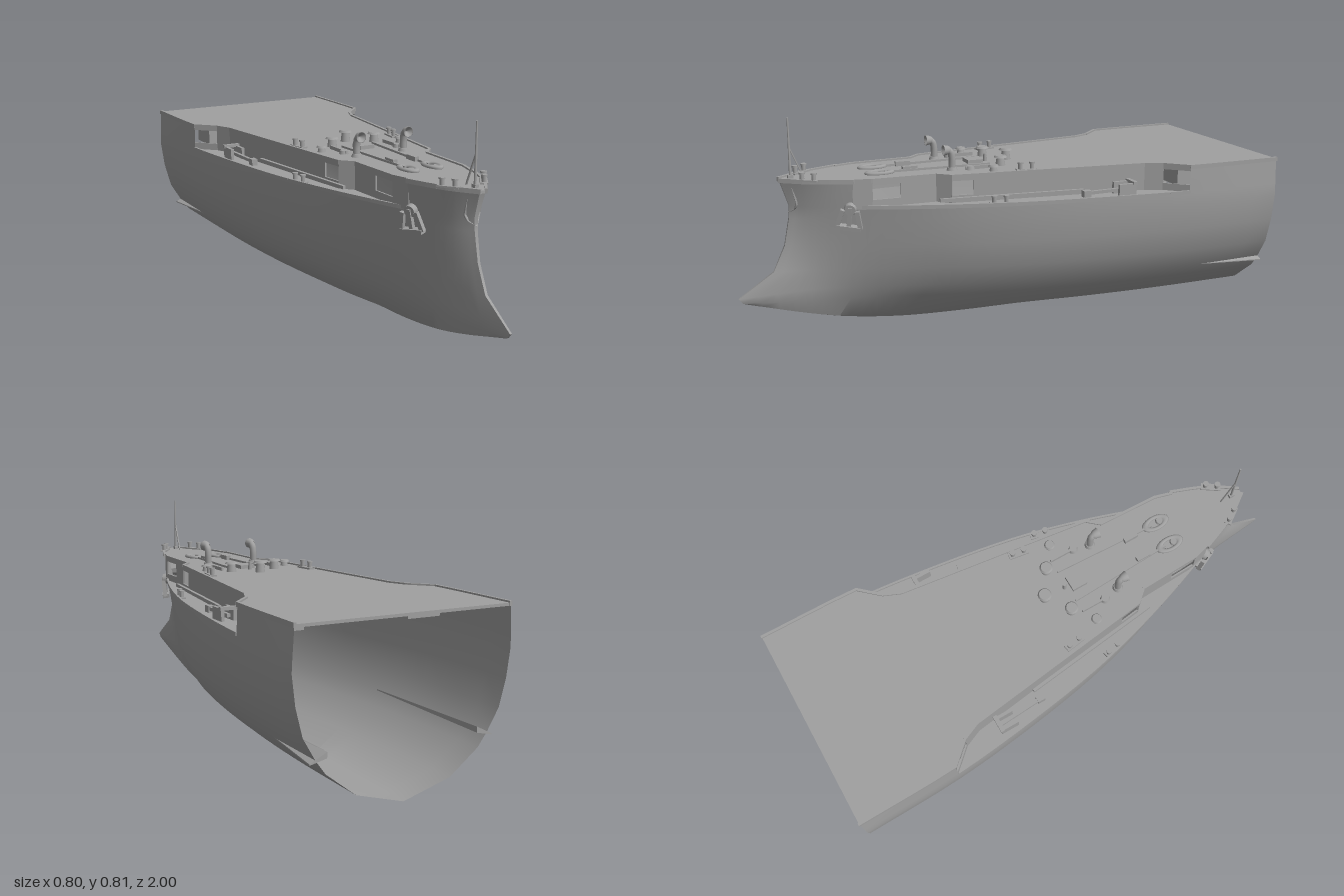
import * as THREE from 'three';
import { toCreasedNormals } from 'three/addons/utils/BufferGeometryUtils.js';

const V = (x, y, z) => new THREE.Vector3(x, y, z);

export function createModel() {
  const ship = new THREE.Group();
  ship.name = 'shipBow';
  const grey = new THREE.MeshStandardMaterial({ color: 0xa0a0a0, side: THREE.DoubleSide });
  grey.name = 'hullGrey';

  const add = (name, geo, x = 0, y = 0, z = 0, parent = ship) => {
    const m = new THREE.Mesh(geo, grey);
    m.name = name;
    m.position.set(x, y, z);
    parent.add(m);
    return m;
  };
  const box = (name, w, h, d, x, y, z, parent) => add(name, new THREE.BoxGeometry(w, h, d), x, y, z, parent);
  const cyl = (name, r1, r2, h, x, y, z, parent) => add(name, new THREE.CylinderGeometry(r1, r2, h, 16), x, y, z, parent);
  // box running from a to b, centred on that line
  const bar = (name, a, b, w, h) => {
    const m = box(name, w, h, a.distanceTo(b) + w * 0.5, 0, 0, 0);
    m.position.copy(a).lerp(b, 0.5);
    m.lookAt(b);
    return m;
  };
  // horizontal plate from a plan outline of [x, z]
  const slab = (name, pts, y, h) => {
    const shape = new THREE.Shape(pts.map(([x, z]) => new THREE.Vector2(x, -z)));
    const g = new THREE.ExtrudeGeometry(shape, { depth: h, bevelEnabled: false });
    return add(name, g.rotateX(-Math.PI / 2), 0, y, 0);
  };

  // Hull lines: half-breadth at each height for every station along z
  const levels = [0, 0.05, 0.133, 0.18, 0.255, 0.35, 0.45, 0.495, 0.592];
  const stations = [
    [-1, 0, [0, 0.175, 0.283, 0.318, 0.362, 0.387, 0.4, 0.398, 0.392]],
    [-0.62, 0, [0, 0.17, 0.277, 0.312, 0.354, 0.377, 0.389, 0.388, 0.384]],
    [-0.3, 0, [0, 0.15, 0.25, 0.283, 0.322, 0.343, 0.354, 0.354, 0.352]],
    [0, 0.002, [0, 0.115, 0.205, 0.237, 0.273, 0.293, 0.304, 0.306, 0.306]],
    [0.2, 0.007, [0, 0.085, 0.16, 0.19, 0.223, 0.242, 0.254, 0.257, 0.259]],
    [0.4, 0.018, [0, 0.04, 0.1, 0.125, 0.152, 0.172, 0.188, 0.195, 0.202]],
    [0.6, 0.045, [0, 0.008, 0.045, 0.062, 0.08, 0.096, 0.112, 0.12, 0.132]],
    [0.74, 0.077, [0, 0.002, 0.024, 0.032, 0.036, 0.04, 0.046, 0.052, 0.075]],
  ];
  const stem = [[0, 0.145, 0.975], [0.001, 0.146, 0.976], [0.003, 0.15, 0.985], [0.004, 0.168, 1], [0.005, 0.255, 0.87],
    [0.005, 0.35, 0.826], [0.006, 0.45, 0.806], [0.007, 0.495, 0.803], [0.012, 0.592, 0.834]];
  const SUB = 4, N = stations.length * SUB, L = levels.length;
  const lines = levels.map((y, i) => {
    const pts = stations.map(([z, keel, w]) => V(w[i], Math.max(y, keel + i * 0.0005), z));
    return new THREE.CatmullRomCurve3([...pts, V(...stem[i])]).getPoints(N);
  });
  const from = SUB, to = 6 * SUB; // gallery limits along the hull
  const W = 2 * L - 1, pos = [], idx = [];
  for (let j = 0; j <= N; j++) {
    for (let i = 0; i < W; i++) {
      const k = Math.abs(i - L + 1), p = lines[k][j];
      pos.push(i < L ? -p.x : p.x, p.y, p.z);
      if (j === N || i === W - 1) continue;
      if ((i === 0 || i === W - 2) && j >= from && j < to) continue;
      const a = j * W + i, c = a + W;
      idx.push(a, a + 1, c, a + 1, c + 1, c);
    }
  }
  // narrow closing face along the stem
  for (let i = 0; i < L - 1; i++) {
    const a = N * W + i, b = N * W + W - 1 - i;
    idx.push(a, a + 1, b, a + 1, b - 1, b);
  }
  const hull = new THREE.BufferGeometry();
  hull.setAttribute('position', new THREE.Float32BufferAttribute(pos, 3));
  hull.setIndex(idx);
  add('hull', toCreasedNormals(hull, 0.6));

  // Casemate wall in plan: x, z, and whether the run ending here has an opening
  const wall = [[0.384, -0.62], [0.315, -0.545, true], [0.287, -0.48], [0.203, 0.175], [0.192, 0.255, true],
    [0.152, 0.3], [0.147, 0.43], [0.143, 0.535, true], [0.125, 0.6]];
  const top = lines[L - 1].map((p) => [p.x, p.z]);
  const edge = [...top.slice(0, from), ...wall.map(([x, z]) => [x, z]), ...top.slice(to)];
  const mirror = (pts) => pts.map(([x, z]) => [-x, z]).reverse();
  slab('upperDeck', [...edge, ...mirror(edge)], 0.584, 0.01);
  const floorEdge = lines[L - 2].slice(from, to + 1).map((p) => [p.x, p.z]);

  for (const s of [1, -1]) {
    const at = ([x, z], y) => V(s * x, y, z);
    // raised rims and gallery
    for (let i = 1; i < edge.length; i++) bar('deckRim', at(edge[i - 1], 0.592), at(edge[i], 0.592), 0.01, 0.016);
    for (let i = 1; i < floorEdge.length; i++) bar('galleryRim', at(floorEdge[i - 1], 0.497), at(floorEdge[i], 0.497), 0.008, 0.012);
    const inner = wall.slice(0, -1).map(([x, z]) => [x, z]).reverse();
    slab('galleryFloor', [...floorEdge, ...inner].map(([x, z]) => [s * x, z]), 0.488, 0.008);
    for (let i = 1; i < wall.length; i++) {
      const run = (y0, y1) => bar('casemateWall', at(wall[i - 1], (y0 + y1) / 2), at(wall[i], (y0 + y1) / 2), 0.006, y1 - y0);
      if (wall[i][2]) { run(0.492, 0.523); run(0.576, 0.59); } else run(0.492, 0.59);
    }
    box('aftCasemate', 0.13, 0.07, 0.12, s * 0.265, 0.545, -0.66);

    // bilge keel: a tapered fin
    const fin = new THREE.Shape([[-0.02, 0.012], [0.04, -0.018], [0.04, -0.022], [-0.02, -0.008]].map(([x, y]) => new THREE.Vector2(s * x, y)));
    const finGeo = new THREE.ExtrudeGeometry(fin, { depth: 0.57, bevelEnabled: false });
    const fp = finGeo.attributes.position;
    for (let i = 0; i < fp.count; i++) if (fp.getZ(i) > 0.3) fp.setXYZ(i, fp.getX(i) * 0.1 - s * 0.018, fp.getY(i) * 0.2, fp.getZ(i));
    finGeo.computeVertexNormals();
    add('bilgeKeel', finGeo, s * 0.298, 0.19, -1);

    // cowl ventilator facing forward
    const cowl = new THREE.CatmullRomCurve3([V(0, 0.59, 0.22), V(0, 0.64, 0.22), V(0, 0.662, 0.226), V(0, 0.67, 0.24)]);
    add('cowlPipe', new THREE.TubeGeometry(cowl, 14, 0.013, 12), s * 0.1);
    const mouth = new THREE.LatheGeometry([[0.011, -0.018], [0.016, -0.01], [0.02, 0.008], [0.018, 0.008], [0, -0.01]].map(([x, y]) => new THREE.Vector2(x, y)), 16);
    add('cowlMouth', mouth.rotateX(Math.PI / 2), s * 0.1, 0.67, 0.245);
    cyl('cowlBase', 0.016, 0.02, 0.012, s * 0.1, 0.6, 0.22);

    // capstans
    for (const [x, z, r, h] of [[0.092, 0.025, 0.025, 0.034], [0.17, 0.085, 0.02, 0.02]]) {
      cyl('capstanBarrel', r * 0.55, r * 0.75, h, s * x, 0.594 + h / 2, z);
      cyl('capstanHead', r * 0.8, r, 0.007, s * x, 0.594 + h, z);
    }

    // chain, stoppers and hawse pipes
    bar('anchorChain', V(s * 0.066, 0.598, 0.06), V(s * 0.048, 0.598, 0.46), 0.008, 0.008);
    box('chainStopper', 0.018, 0.018, 0.055, s * 0.045, 0.602, 0.365);
    const ring = new THREE.TorusGeometry(0.022, 0.008, 8, 24).rotateX(Math.PI / 2).scale(1, 1, 1.9);
    add('hawseRing', ring, s * 0.05, 0.597, 0.48);
    cyl('hawsePlug', 0.014, 0.018, 0.01, s * 0.05, 0.597, 0.5);
    bar('deckCleatBar', V(s * 0.115, 0.6, 0.06), V(s * 0.115, 0.6, 0.17), 0.008, 0.014);
    cyl('deckCleat', 0.014, 0.018, 0.014, s * 0.115, 0.6, 0.155);

    // paired bollards: x, z, height of floor, yaw
    for (const [x, z, y, yaw] of [[0.205, -0.03, 0.594, 0.15], [0.272, 0.1, 0.496, 0.22], [0.07, 0.745, 0.594, 0.6]]) {
      const g = new THREE.Group();
      g.name = 'bollards';
      g.position.set(s * x, y, z);
      g.rotation.y = -s * yaw;
      ship.add(g);
      box('bollardBase', 0.026, 0.006, 0.075, 0, 0.003, 0, g);
      for (const k of [-0.022, 0.022]) {
        cyl('bollardPost', 0.008, 0.008, 0.026, 0, 0.014, k, g);
        cyl('bollardCap', 0.011, 0.011, 0.006, 0, 0.028, k, g);
      }
    }

    // gallery gear: boom against the wall, and a davit stowed flat
    bar('boom', V(s * 0.264, 0.511, -0.235), V(s * 0.2, 0.511, 0.3), 0.012, 0.012);
    box('davitHead', 0.065, 0.012, 0.016, s * 0.315, 0.54, -0.41);
    for (const x of [0.292, 0.338]) box('davitLeg', 0.012, 0.045, 0.07, s * x, 0.517, -0.38);
    bar('davitArm', V(s * 0.315, 0.515, -0.41), V(s * 0.302, 0.51, -0.22), 0.012, 0.012);
    box('davitFoot', 0.022, 0.025, 0.03, s * 0.302, 0.508, -0.23);

    // anchor against the hull
    const anchor = new THREE.Group();
    anchor.name = 'anchor';
    anchor.position.set(s * 0.122, 0.457, 0.615);
    anchor.rotation.set(0.12, s * 1.15, s * -0.12, 'YXZ');
    ship.add(anchor);
    box('anchorShank', 0.014, 0.08, 0.016, 0, 0.003, 0.004, anchor);
    box('anchorCrown', 0.085, 0.016, 0.028, 0, -0.033, 0.004, anchor);
    cyl('anchorHawse', 0.02, 0.024, 0.022, 0, 0.034, -0.004, anchor).rotation.x = Math.PI / 2;
    for (const k of [-1, 1]) {
      const fluke = box('anchorFluke', 0.016, 0.068, 0.016, k * 0.034, 0, 0.006, anchor);
      fluke.rotation.z = k * 0.25;
    }
  }

  // centreline capstan and hatch
  cyl('centreCapstan', 0.014, 0.019, 0.04, 0, 0.612, -0.035);
  cyl('centreCapstanHead', 0.021, 0.026, 0.008, 0, 0.634, -0.035);
  box('hatch', 0.06, 0.016, 0.06, 0, 0.6, 0.1);
  cyl('hatchPost', 0.006, 0.008, 0.03, 0, 0.608, 0.05);

  // jackstaff with brace
  cyl('jackstaff', 0.003, 0.005, 0.22, 0, 0.7, 0.792);
  bar('jackstaffBrace', V(0, 0.594, 0.745), V(0, 0.7, 0.79), 0.005, 0.005);
  box('jackstaffFoot', 0.014, 0.012, 0.02, 0, 0.6, 0.792);

  // blank shield on the stem
  const shield = new THREE.Shape();
  shield.moveTo(-0.032, 0.045);
  shield.lineTo(0.032, 0.045);
  shield.lineTo(0.032, -0.015);
  shield.quadraticCurveTo(0.03, -0.038, 0, -0.046);
  shield.quadraticCurveTo(-0.03, -0.038, -0.032, -0.015);
  const shieldGeo = new THREE.ExtrudeGeometry(shield, { depth: 0.006, bevelEnabled: false, curveSegments: 8 });
  const sp = shieldGeo.attributes.position;
  for (let i = 0; i < sp.count; i++) sp.setZ(i, sp.getZ(i) - Math.abs(sp.getX(i)) * 1.1);
  shieldGeo.computeVertexNormals();
  add('bowShield', shieldGeo, 0, 0.515, 0.815).rotation.x = 0.22;

  return ship;
}
